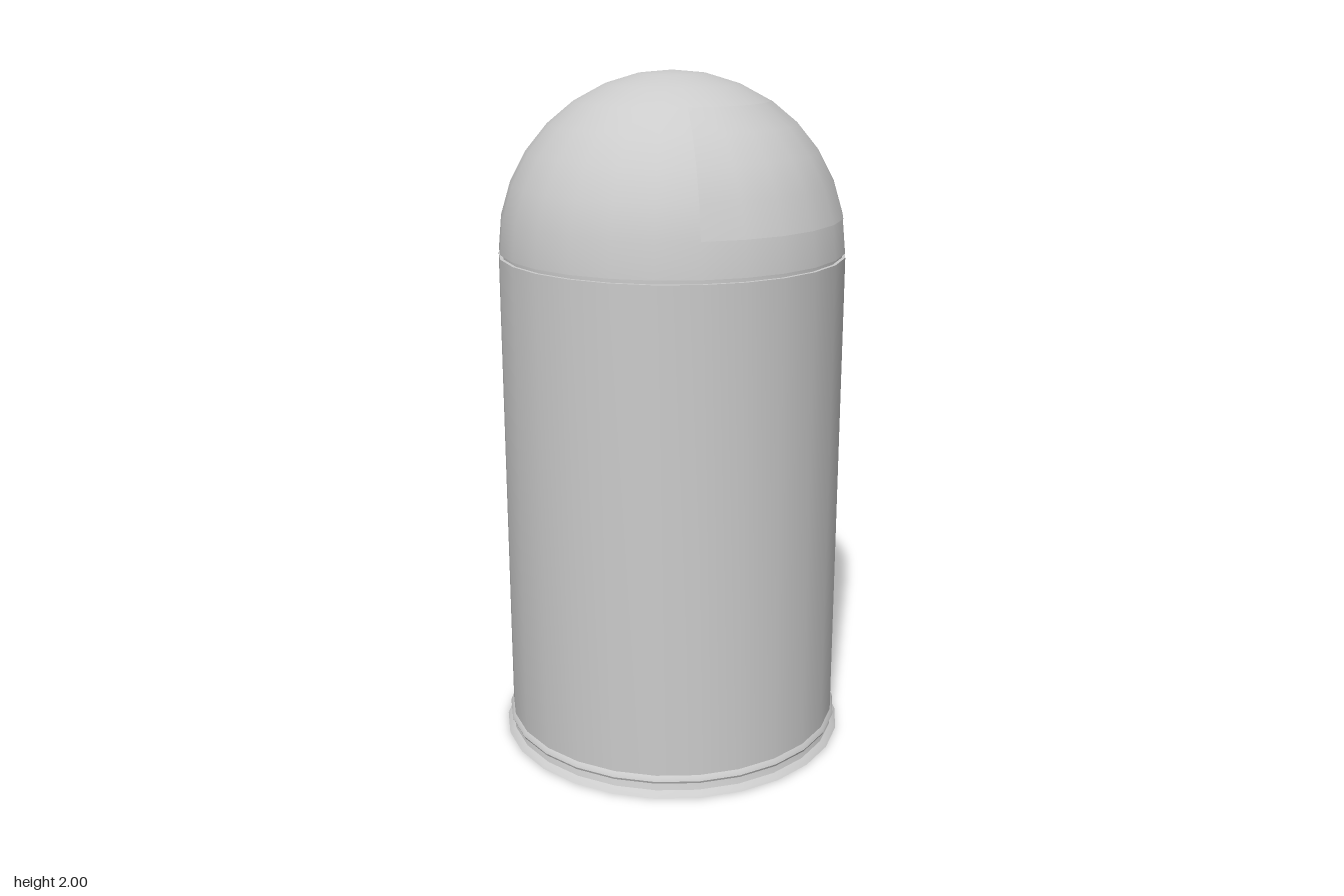
import * as THREE from 'three';
import { toCreasedNormals } from 'three/addons/utils/BufferGeometryUtils.js';

const SIDES = 26;
const STEP = (Math.PI * 2) / SIDES;
const TURN = -0.031; // slight twist of the facets
const ROWS = 8; // dome rows from pole to rim
const DOME_BASE = 1.497;

export function createModel() {
  const group = new THREE.Group();
  const material = new THREE.MeshStandardMaterial({ color: 0xcccccc });

  // Revolve a bottom-to-top profile over a number of facets
  function revolve(name, profile, first = 0, count = SIDES) {
    const points = profile.map(([r, y]) => new THREE.Vector2(r, y));
    const lathe = new THREE.LatheGeometry(points, count, TURN + first * STEP, count * STEP);
    const mesh = new THREE.Mesh(toCreasedNormals(lathe, 0.5), material);
    mesh.name = name;
    group.add(mesh);
  }

  // Arc of the dome between two rows, counted from the pole
  function domeArc(fromRow, toRow, radius, height) {
    const arc = [];
    for (let i = toRow; i >= fromRow; i--) {
      const a = (i / ROWS) * Math.PI / 2;
      arc.push([radius * Math.sin(a), DOME_BASE + height * Math.cos(a)]);
    }
    return arc;
  }

  // Flared foot with closed underside
  revolve('foot', [[0, 0], [0.522, 0], [0.517, 0.006], [0.503, 0.015], [0.498, 0.035]]);

  // Bead around the bottom of the body
  revolve('bead', [[0.498, 0.035], [0.509, 0.04], [0.512, 0.047], [0.509, 0.055], [0.503, 0.062]]);

  // Straight body with a recessed neck under the dome
  revolve('body', [[0.503, 0.062], [0.503, 1.485], [0.493, 1.485], [0.493, DOME_BASE]]);

  // Hemispherical dome
  revolve('dome', [[0.49, DOME_BASE], ...domeArc(0, ROWS, 0.502, 0.503)]);

  // Two opposite curved panels lying on the dome
  for (const first of [-1, SIDES / 2 - 1]) {
    revolve('domePanel', domeArc(3, 7, 0.5035, 0.5045), first, 6);
  }

  return group;
}
